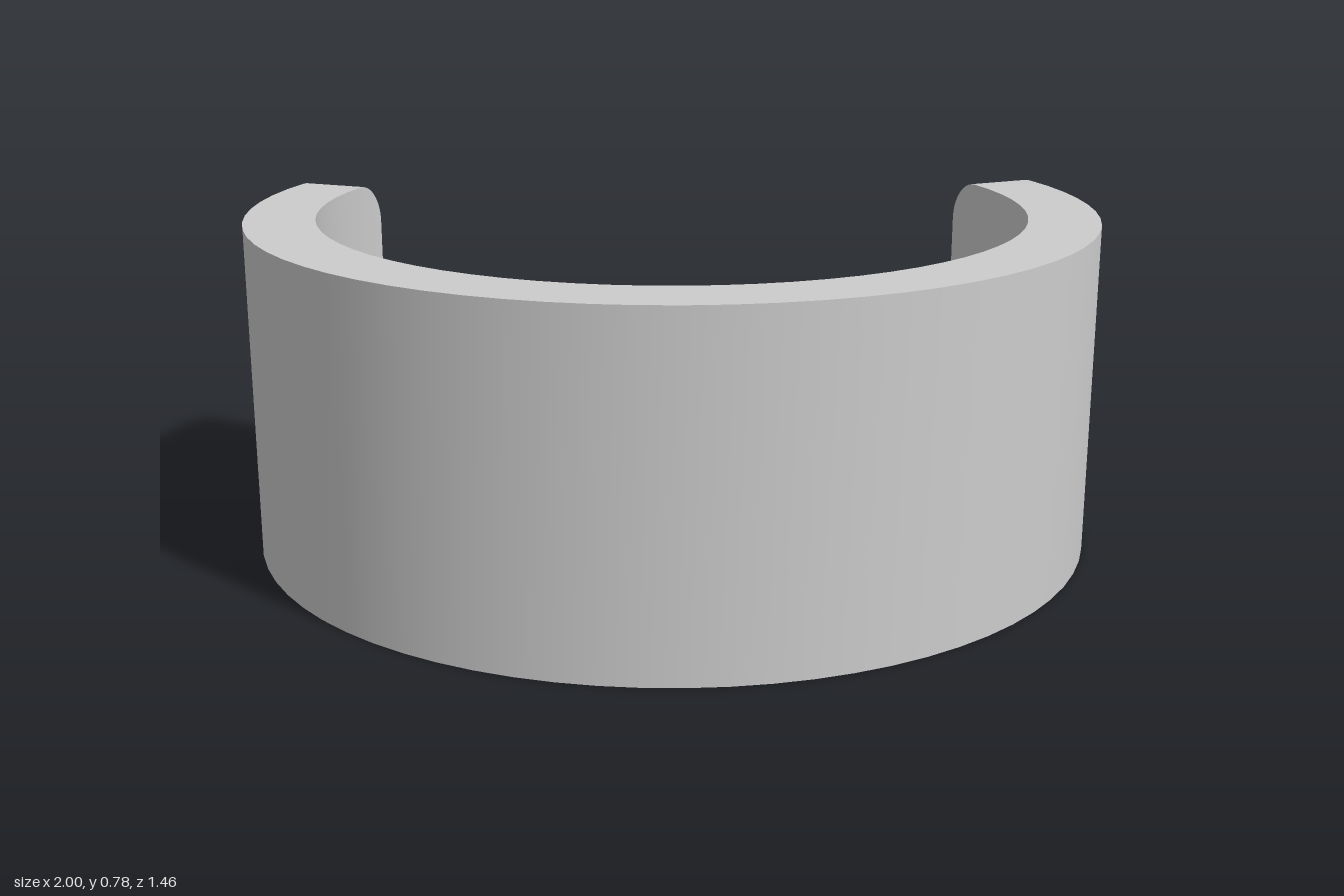
import * as THREE from 'three';
import { toCreasedNormals } from 'three/addons/utils/BufferGeometryUtils.js';

const OUTER = 1, INNER = 0.835, HEIGHT = 0.78, CENTRE_Z = -0.27;
const HALF_ARC = THREE.MathUtils.degToRad(117.4); // front to each open end
const CORNER = 0.1;                               // rounding of the end corners
const CORNER_ARC = CORNER / 0.93;                 // the same, as an angle

// Stations along the band: angle from the front, and how far the edges are cut in
function stations() {
  const list = [], main = 44, round = 10, flat = HALF_ARC - CORNER_ARC;
  const corner = (i) => {
    const a = (i / round) * Math.PI / 2;
    return [flat + CORNER_ARC * Math.sin(a), CORNER * (1 - Math.cos(a))];
  };
  for (let i = round; i > 0; i--) {
    const [t, cut] = corner(i);
    list.push([-t, cut]);
  }
  for (let i = 0; i <= main; i++) list.push([-flat + (2 * flat * i) / main, 0]);
  for (let i = 1; i <= round; i++) list.push(corner(i));
  return list;
}

// Rectangular cross-sections joined into an open ring with capped ends
function cuffGeometry() {
  const sections = stations().map(([t, cut]) => {
    const point = (r, y) => [r * Math.sin(t), y, CENTRE_Z + r * Math.cos(t)];
    return [point(OUTER, cut), point(OUTER, HEIGHT - cut),
      point(INNER, HEIGHT - cut), point(INNER, cut)];
  });
  const positions = [];
  const quad = (a, b, c, d) => positions.push(...a, ...b, ...c, ...a, ...c, ...d);
  for (let i = 0; i < sections.length - 1; i++) {
    const s = sections[i], n = sections[i + 1];
    for (let k = 0; k < 4; k++) quad(s[k], n[k], n[(k + 1) % 4], s[(k + 1) % 4]);
  }
  const first = sections[0], last = sections[sections.length - 1];
  quad(first[0], first[1], first[2], first[3]);
  quad(last[0], last[3], last[2], last[1]);

  const geometry = new THREE.BufferGeometry();
  geometry.setAttribute('position', new THREE.Float32BufferAttribute(positions, 3));
  return toCreasedNormals(geometry, Math.PI / 6);
}

export function createModel() {
  const model = new THREE.Group();
  model.name = 'openCuff';
  const grey = new THREE.MeshStandardMaterial({ color: 0xcccccc });
  grey.name = 'lightGrey';
  const band = new THREE.Mesh(cuffGeometry(), grey);
  band.name = 'band';
  model.add(band);
  return model;
}
